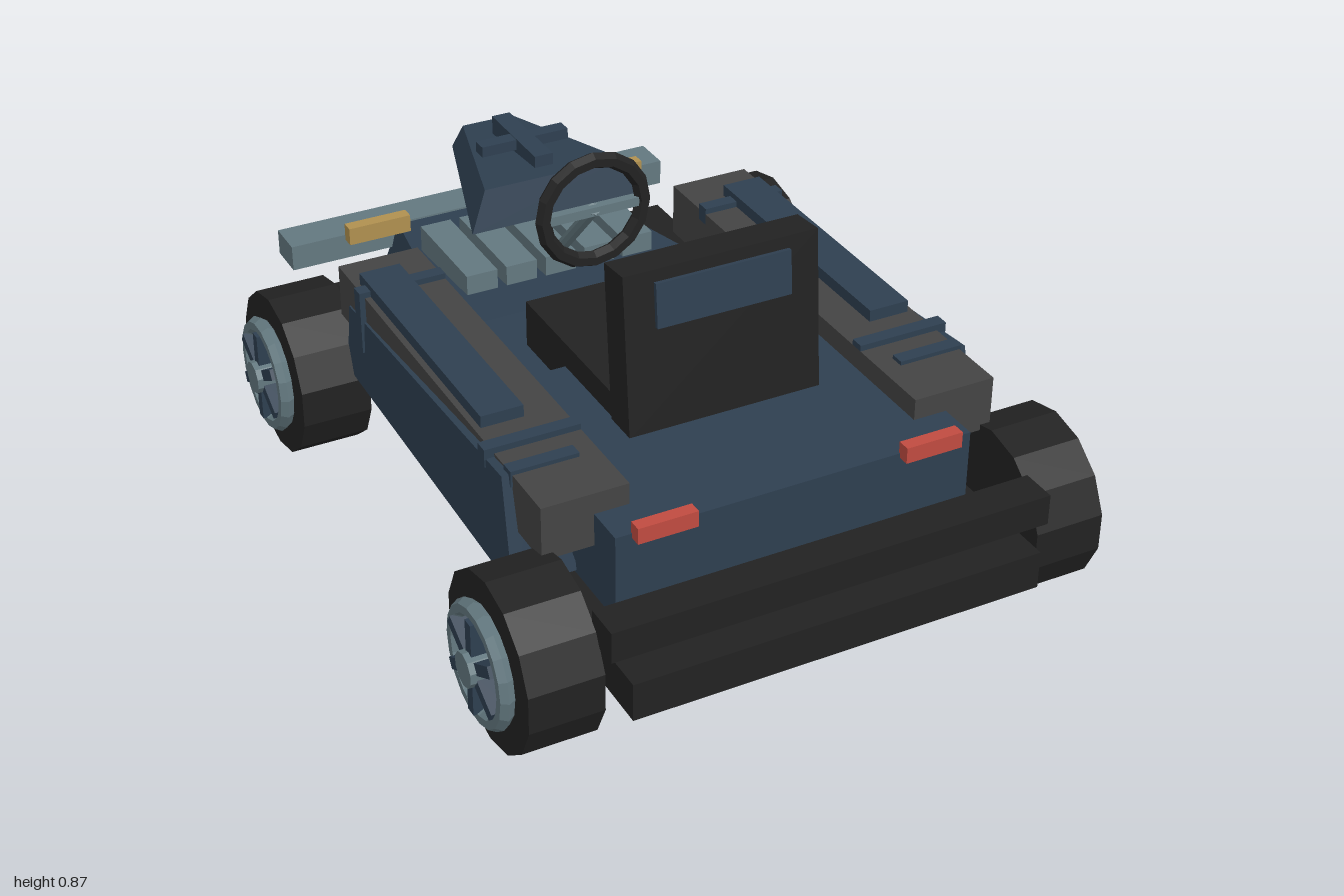
import * as THREE from 'three';

const paint = (name, color) => {
  const m = new THREE.MeshStandardMaterial({ color, flatShading: true });
  m.name = name;
  return m;
};

export function createModel() {
  const black = paint('black', 0x222222);
  const grey = paint('grey', 0x444444);
  const blue = paint('blue', 0x2e3f50);
  const steel = paint('steel', 0x63787f);
  const amber = paint('amber', 0xb0904f);
  const red = paint('red', 0xc04b40);

  const kart = new THREE.Group();
  kart.name = 'kart';

  const add = (name, geo, mat, x = 0, y = 0, z = 0, parent = kart) => {
    const m = new THREE.Mesh(geo, mat);
    m.name = name;
    m.position.set(x, y, z);
    parent.add(m);
    return m;
  };
  // Box given by its limits on each axis
  const box = (name, mat, x0, x1, y0, y1, z0, z1, parent) =>
    add(name, new THREE.BoxGeometry(x1 - x0, y1 - y0, z1 - z0), mat,
      (x0 + x1) / 2, (y0 + y1) / 2, (z0 + z1) / 2, parent);
  // The same box on the +x or -x side
  const sideBox = (s, name, mat, x0, x1, ...rest) =>
    s > 0 ? box(name, mat, x0, x1, ...rest) : box(name, mat, -x1, -x0, ...rest);
  // Tapered block from four edges [xLeft, xRight, y, z]: bottom +z, bottom -z, top +z, top -z
  const block = (name, mat, edges, s = 1) => {
    const [b0, b1, t0, t1] = edges.map(([l, r, y, z]) => (s > 0 ? [l, r, y, z] : [-r, -l, y, z]));
    const ring = (p, q) => [[p[0], p[2], p[3]], [p[1], p[2], p[3]], [q[1], q[2], q[3]], [q[0], q[2], q[3]]];
    const lo = ring(b0, b1), hi = ring(t0, t1), pos = [];
    const quad = (a, b, c, d) => pos.push(...a, ...b, ...c, ...a, ...c, ...d);
    quad(...hi);
    quad(lo[3], lo[2], lo[1], lo[0]);
    for (let i = 0; i < 4; i++) {
      const j = (i + 1) % 4;
      quad(lo[i], lo[j], hi[j], hi[i]);
    }
    const geo = new THREE.BufferGeometry();
    geo.setAttribute('position', new THREE.Float32BufferAttribute(pos, 3));
    geo.computeVertexNormals();
    return add(name, geo, mat);
  };

  // Floor and bumpers
  box('chassis', black, -0.51, 0.51, 0.165, 0.26, -0.845, 1);
  box('tailBumper', black, -0.545, 0.545, 0.308, 0.385, 0.88, 0.97);
  box('noseBumper', steel, -0.545, 0.545, 0.297, 0.366, -1, -0.895);

  // Body: raised deck with a sloped step, then the tapering nose
  block('deck', blue, [[-0.445, 0.445, 0.262, 0.79], [-0.445, 0.445, 0.262, 0.05],
    [-0.445, 0.445, 0.477, 0.79], [-0.445, 0.445, 0.477, 0.125]]);
  block('cockpitFloor', blue, [[-0.4, 0.4, 0.262, 0.1], [-0.38, 0.38, 0.262, -0.25],
    [-0.39, 0.39, 0.412, 0.1], [-0.36, 0.36, 0.412, -0.25]]);
  block('nose', blue, [[-0.38, 0.38, 0.25, -0.25], [-0.28, 0.28, 0.19, -0.955],
    [-0.36, 0.36, 0.412, -0.25], [-0.25, 0.25, 0.37, -0.88]]);

  // Slats on the nose and the hood above them
  for (let i = -2; i <= 2; i++) {
    box('noseSlat', steel, i * 0.109 - 0.042, i * 0.109 + 0.042, 0.385, 0.455, -0.695, -0.4);
  }
  block('hood', blue, [[-0.24, 0.24, 0.57, -0.4], [-0.09, 0.09, 0.57, -0.87],
    [-0.19, 0.19, 0.668, -0.43], [-0.07, 0.07, 0.638, -0.84]]);
  box('hoodRibLong', blue, -0.025, 0.025, 0.645, 0.695, -0.75, -0.49);
  box('hoodRibCross', blue, -0.12, 0.12, 0.665, 0.693, -0.64, -0.6);

  // Side pods and lights
  for (const s of [1, -1]) {
    sideBox(s, 'podCore', grey, 0.36, 0.57, 0.395, 0.53, -0.47, 0.69);
    block('podPanel', blue, [[0.44, 0.6, 0.27, 0.6], [0.44, 0.58, 0.27, -0.42],
      [0.5, 0.592, 0.528, 0.54], [0.5, 0.574, 0.455, -0.4]], s);
    sideBox(s, 'podRail', blue, 0.45, 0.555, 0.52, 0.56, -0.365, 0.35);
    sideBox(s, 'tailStrap', blue, 0.36, 0.594, 0.5, 0.545, 0.42, 0.455);
    sideBox(s, 'tailPlate', blue, 0.41, 0.575, 0.5, 0.54, 0.515, 0.55);
    sideBox(s, 'noseStrap', blue, 0.36, 0.575, 0.5, 0.545, -0.33, -0.295);
    sideBox(s, 'noseStrapSide', blue, 0.56, 0.584, 0.38, 0.545, -0.33, -0.295);
    sideBox(s, 'headlight', amber, 0.255, 0.425, 0.4, 0.447, -0.812, -0.778);
    sideBox(s, 'tailLight', red, 0.26, 0.405, 0.465, 0.505, 0.785, 0.817);
  }

  // Seat
  box('seatCushion', black, -0.24, 0.24, 0.42, 0.54, -0.09, 0.4);
  const back = new THREE.Group();
  back.name = 'seatBack';
  back.position.set(0, 0.47, 0.42);
  back.rotation.x = -0.085;
  kart.add(back);
  box('backrest', black, -0.245, 0.245, 0, 0.4, -0.045, 0.045, back);
  box('headPanel', blue, -0.17, 0.17, 0.26, 0.37, -0.056, 0.056, back);

  // Steering wheel and column
  const hubY = 0.672, hubZ = -0.21;
  add('steeringWheel', new THREE.TorusGeometry(0.135, 0.021, 6, 16), black, 0, hubY, hubZ);
  box('steeringSpoke', steel, -0.125, 0.125, hubY - 0.012, hubY + 0.012, hubZ - 0.012, hubZ + 0.012);
  const column = add('steeringColumn', new THREE.CylinderGeometry(0.016, 0.016, 0.36, 8), steel,
    0, hubY - 0.125, hubZ - 0.12);
  column.rotation.x = Math.atan2(0.12, 0.125);

  // Axles and wheels
  const R = 0.21;
  for (const z of [0.735, -0.575]) {
    add('axle', new THREE.CylinderGeometry(0.028, 0.028, 1.2, 8), steel, 0, R, z).rotation.z = Math.PI / 2;
    for (const s of [1, -1]) {
      const wheel = new THREE.Group();
      wheel.name = 'wheel';
      wheel.position.set(s * 0.633, R, z);
      wheel.rotation.y = s * Math.PI / 2; // local +z points outward
      kart.add(wheel);
      const disc = (name, mat, r, z0, z1, n) => {
        const g = new THREE.CylinderGeometry(r, r, z1 - z0, n);
        g.rotateX(Math.PI / 2);
        add(name, g, mat, 0, 0, (z0 + z1) / 2, wheel);
      };
      disc('tyre', black, R, -0.089, 0.089, 14);
      add('rim', new THREE.TorusGeometry(0.13, 0.02, 6, 18), steel, 0, 0, 0.106, wheel);
      for (let i = 0; i < 6; i++) {
        const a = Math.PI / 6 + i * Math.PI / 3;
        const spoke = add('spoke', new THREE.BoxGeometry(0.1, 0.028, 0.045), blue,
          Math.cos(a) * 0.07, Math.sin(a) * 0.07, 0.11, wheel);
        spoke.rotation.z = a;
      }
      disc('hub', steel, 0.042, 0.08, 0.147, 10);
    }
  }
  return kart;
}
